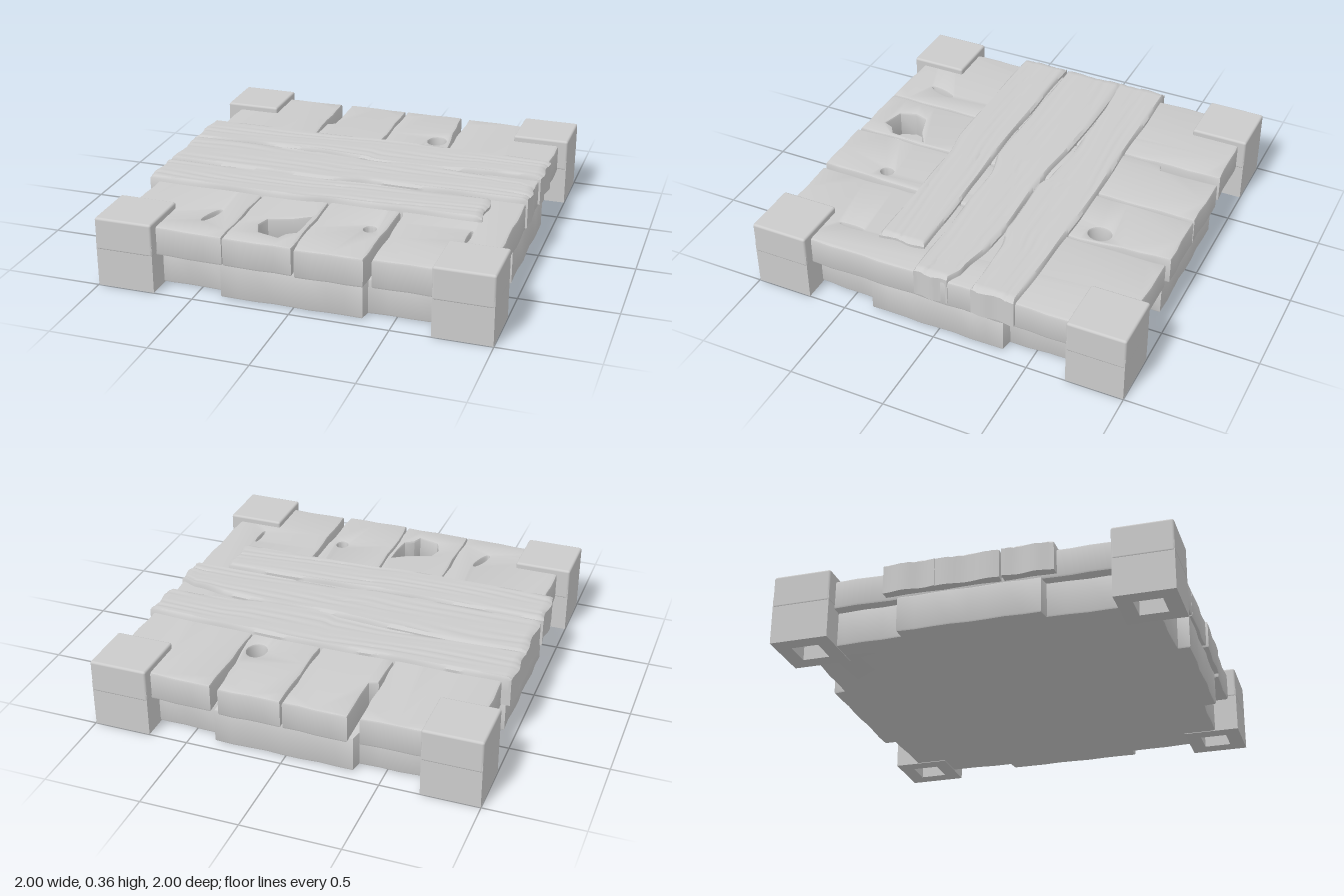
import * as THREE from 'three';
import { toCreasedNormals } from 'three/addons/utils/BufferGeometryUtils.js';
import { RoundedBoxGeometry } from 'three/addons/geometries/RoundedBoxGeometry.js';

const material = new THREE.MeshStandardMaterial({ color: 0xcccccc });
const vec = (pts) => pts.map(([x, z]) => new THREE.Vector2(x, z));

function addMesh(parent, name, geometry) {
  const mesh = new THREE.Mesh(geometry, material);
  mesh.name = name;
  parent.add(mesh);
  return mesh;
}

// Vertical prism from an outline in x/z, with bevelled rims
function slab(outline, holes, y0, y1, bevel) {
  const shape = new THREE.Shape(vec(outline));
  shape.holes = holes;
  const geo = new THREE.ExtrudeGeometry(shape, {
    depth: y1 - y0 - 2 * bevel, curveSegments: 12,
    bevelEnabled: bevel > 0, bevelThickness: bevel, bevelSize: bevel, bevelOffset: -bevel, bevelSegments: 2,
  });
  geo.rotateX(Math.PI / 2).translate(0, y1 - bevel, 0);
  return toCreasedNormals(geo, 0.7);
}

// Adds small waves to the long edges of an outline so the wood looks hand cut
function roughen(points, seed) {
  const out = [];
  points.forEach(([x, z], i) => {
    const [nx, nz] = points[(i + 1) % points.length];
    const len = Math.hypot(nx - x, nz - z);
    const n = Math.max(1, Math.round(len / 0.09));
    for (let k = 0; k < n; k++) {
      const t = k / n;
      const d = k ? 0.004 * Math.sin(seed + i * 2.3 + k * 1.9) : 0;
      out.push([x + (nx - x) * t + (d * (nz - z)) / len, z + (nz - z) * t - (d * (nx - x)) / len]);
    }
  });
  return out;
}

function oval(x, z, rx, rz, turn = 0) {
  return new THREE.Path().absellipse(x, z, rx, rz, 0, Math.PI * 2, false, turn);
}

// Smooth interpolation along an edge given as [x, z] pairs
function edgeAt(pts, x) {
  if (x <= pts[0][0]) return pts[0][1];
  for (let i = 1; i < pts.length; i++) {
    const [ax, az] = pts[i - 1], [bx, bz] = pts[i];
    if (x <= bx) return az + (bz - az) * THREE.MathUtils.smoothstep(x, ax, bx);
  }
  return pts[pts.length - 1][1];
}

// Crosswise board: a box bent between two edge curves, with grain on top
function board(x0, x1, back, front, seed) {
  const geo = new THREE.BoxGeometry(1, 1, 1, 90, 2, 24);
  const p = geo.attributes.position;
  for (let i = 0; i < p.count; i++) {
    const u = p.getX(i) + 0.5, v = p.getY(i) + 0.5, w = p.getZ(i) + 0.5;
    const rimU = u < 0.001 || u > 0.999, rimW = w < 0.001 || w > 0.999;
    let x = x0 + (x1 - x0) * u;
    const zA = edgeAt(back, x), zB = edgeAt(front, x);
    const z = zA + (zB - zA) * w + 0.003 * Math.sin(x * 13 + seed) * (rimW ? 1 : 0);
    if (rimU) x += 0.006 * Math.sin(w * 9 + seed);
    let y = 0.2 + 0.15 * v;
    if (v > 0.9) {
      const swirl = w * 34 + seed + 2.2 * Math.sin(x * 3.1 + seed) + Math.sin(x * 7 + w * 4);
      y = 0.359 - 0.005 * Math.pow(0.5 + 0.5 * Math.sin(swirl), 4) * (0.5 + 0.5 * Math.sin(x * 5 + w * 9 + seed));
      if (rimU || rimW) y -= 0.013;
    }
    p.setXYZ(i, x, y, z);
  }
  return toCreasedNormals(geo, 0.8);
}

export function createModel() {
  const model = new THREE.Group();
  model.name = 'woodenPlatform';

  // Base: four matching sides, each with a raised middle block
  const side = [[-0.76, 0.76], [-0.76, 0.87], [-0.37, 0.88], [-0.37, 0.94], [0.35, 0.94], [0.36, 0.88], [0.76, 0.87]];
  const base = [];
  for (let k = 0; k < 4; k++) {
    const c = Math.round(Math.cos(k * Math.PI / 2)), s = Math.round(Math.sin(k * Math.PI / 2));
    side.forEach(([a, b]) => base.push([a * c + b * s, b * c - a * s]));
  }
  addMesh(model, 'base', slab(roughen(base, 1), [], 0.003, 0.19, 0.01));

  // Corner posts, hollow underneath
  const posts = new THREE.Group();
  posts.name = 'cornerPosts';
  model.add(posts);
  const r = 0.15, h = 0.07;
  const square = (q) => [[-q, -q], [q, -q], [q, q], [-q, q]];
  const sleeve = slab(square(r - 0.002), [new THREE.Path(vec(square(h)))], 0, 0.25, 0);
  const cap = new RoundedBoxGeometry(2 * r, 0.17, 2 * r, 3, 0.012).translate(0, 0.278, 0);
  for (const sx of [-1, 1]) for (const sz of [-1, 1]) {
    const post = new THREE.Group();
    post.name = 'cornerPost';
    post.position.set(sx * 0.85, 0, sz * 0.85);
    addMesh(post, 'postSleeve', sleeve);
    addMesh(post, 'postCap', cap);
    posts.add(post);
  }

  // Lengthwise planks with rotted holes
  const rot = new THREE.Path(vec([[-0.02, 0.585], [-0.02, 0.68], [-0.035, 0.78], [-0.08, 0.81], [-0.1, 0.86],
    [-0.21, 0.83], [-0.24, 0.75], [-0.22, 0.68], [-0.1, 0.64]]));
  const planks = [
    { outline: [[-0.93, -0.95], [-0.39, -0.965], [-0.385, -0.44], [-0.352, -0.4], [-0.355, 0.955], [-0.93, 0.94]],
      holes: [oval(-0.5, 0.72, 0.018, 0.075, 0.3)] },
    { outline: [[-0.33, -0.97], [0, -0.965], [0.002, 0.96], [-0.35, 0.955], [-0.345, -0.4], [-0.378, -0.44],
      [-0.372, -0.64], [-0.33, -0.66]], holes: [rot] },
    { outline: [[0.012, -0.965], [0.335, -0.965], [0.35, -0.72], [0.378, -0.5], [0.372, 0.44], [0.36, 0.965],
      [0.02, 0.97], [0.008, 0.88]],
      holes: [oval(0.055, 0.75, 0.026, 0.065, -0.2), oval(0.29, 0.635, 0.03, 0.035), oval(0.295, -0.575, 0.05, 0.06)] },
    { outline: [[0.38, -0.955], [0.95, -0.945], [0.945, 0.95], [0.4, 0.955], [0.395, 0.44], [0.383, 0.4]],
      holes: [oval(0.765, 0.57, 0.008, 0.065)] },
  ];
  planks.forEach(({ outline, holes }, i) =>
    addMesh(model, 'lengthwisePlank', slab(roughen(outline, i * 3 + 2), holes, 0.18, 0.331, 0.012)));

  // Crosswise boards laid over the planks
  addMesh(model, 'rearBoard', board(-0.98, 0.96,
    [[-0.98, -0.435], [-0.3, -0.435], [0.05, -0.445], [0.5, -0.435], [0.96, -0.42]],
    [[-0.98, -0.17], [-0.6, -0.185], [-0.3, -0.19], [0, -0.17], [0.08, -0.14], [0.45, -0.15], [0.62, -0.185], [0.96, -0.19]], 1));
  addMesh(model, 'middleBoard', board(-0.975, 0.955,
    [[-0.98, -0.168], [-0.65, -0.18], [-0.3, -0.163], [0, -0.14], [0.08, -0.135], [0.45, -0.147], [0.62, -0.135], [0.85, -0.1], [0.955, -0.06]],
    [[-0.98, 0.155], [-0.1, 0.165], [0.12, 0.125], [0.955, 0.12]], 3.5));
  addMesh(model, 'frontBoard', board(-0.98, 0.78,
    [[-0.98, 0.17], [-0.1, 0.178], [0.2, 0.165], [0.78, 0.155]],
    [[-0.98, 0.425], [-0.15, 0.43], [0.05, 0.405], [0.78, 0.4]], 5.2));

  return model;
}
